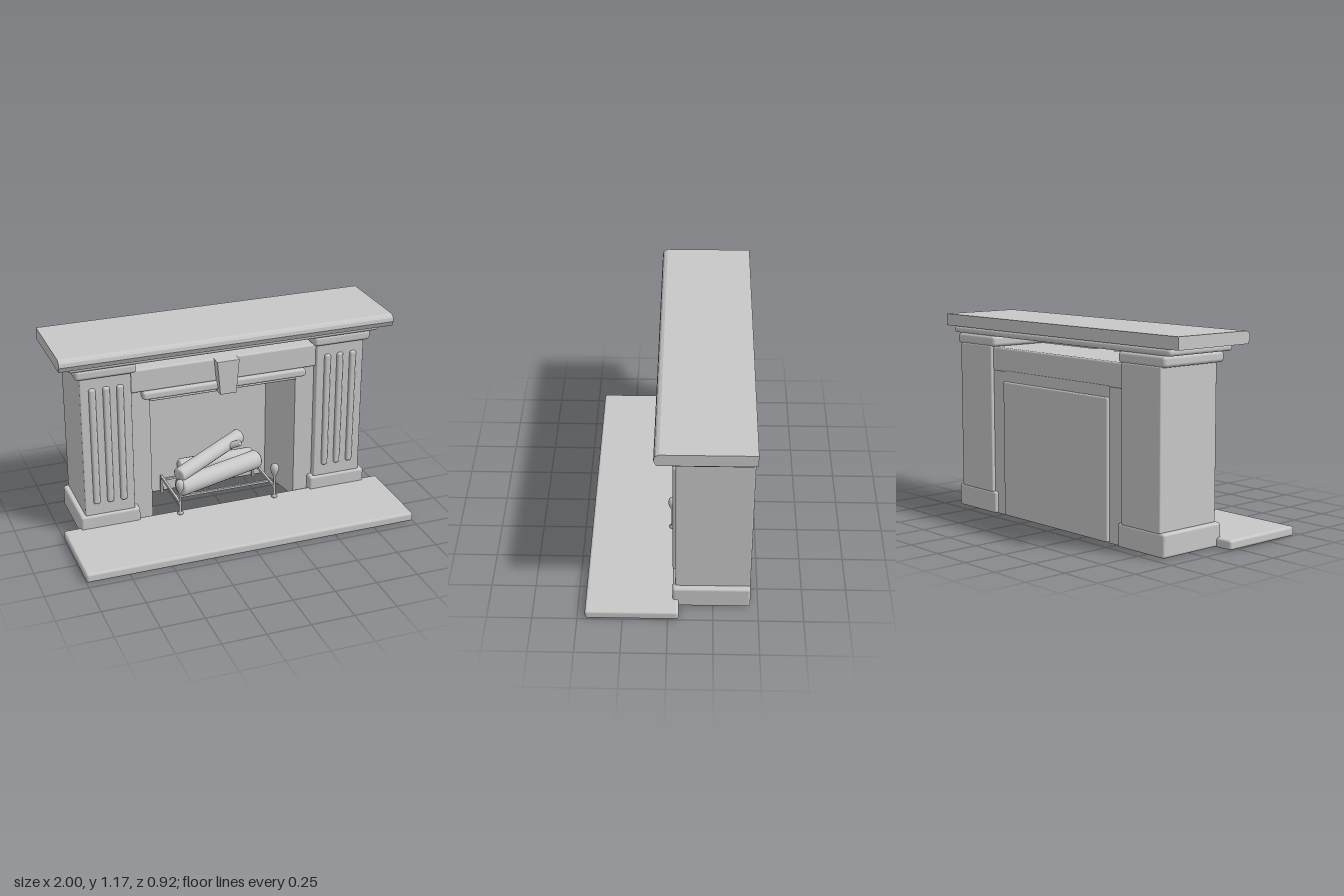
import * as THREE from 'three';
import { RoundedBoxGeometry } from 'three/addons/geometries/RoundedBoxGeometry.js';

export function createModel() {
  const model = new THREE.Group();
  model.name = 'fireplace';
  const stone = new THREE.MeshStandardMaterial({ color: 0xc8c8c8 });
  stone.name = 'light grey';

  const add = (name, geometry, parent = model) => {
    const mesh = new THREE.Mesh(geometry, stone);
    mesh.name = name;
    parent.add(mesh);
    return mesh;
  };
  // Softened block given by its limits on each axis
  const block = (name, [x0, x1], [y0, y1], [z0, z1], r = 0.008, parent = model) => {
    const mesh = add(name, new RoundedBoxGeometry(x1 - x0, y1 - y0, z1 - z0, 3, r), parent);
    mesh.position.set((x0 + x1) / 2, (y0 + y1) / 2, (z0 + z1) / 2);
    return mesh;
  };
  // Straight prism along y from a plan outline of [x, z] points
  const prism = (name, plan, y0, y1) => {
    const shape = new THREE.Shape(plan.map(([x, z]) => new THREE.Vector2(x, -z)));
    const geometry = new THREE.ExtrudeGeometry(shape, { depth: y1 - y0, bevelEnabled: false });
    geometry.rotateX(-Math.PI / 2).translate(0, y0, 0);
    return add(name, geometry);
  };

  // Hearth slab
  block('hearth', [-1, 1], [0, 0.055], [-0.06, 0.457], 0.015);

  // Mantel shelf with a shaped front edge
  const profile = [[-0.46, 1.10], [0.055, 1.10], [0.07, 1.13], [0.066, 1.152], [0.056, 1.163], [0.04, 1.17], [-0.46, 1.17]];
  const shelf = new THREE.Shape(profile.map(([z, y]) => new THREE.Vector2(-z, y)));
  const shelfGeometry = new THREE.ExtrudeGeometry(shelf, { depth: 2, bevelEnabled: false });
  add('mantelShelf', shelfGeometry.rotateY(Math.PI / 2).translate(-1, 0, 0));
  block('shelfMoulding', [-0.935, 0.935], [1.062, 1.1], [-0.457, 0.012], 0.017);

  // Fluted columns
  for (const side of [-1, 1]) {
    const column = new THREE.Group();
    column.name = side > 0 ? 'leftColumn' : 'rightColumn';
    model.add(column);
    const span = (a, b) => (side > 0 ? [a, b] : [-b, -a]);
    block('columnBase', span(0.54, 0.898), [0.004, 0.135], [-0.457, -0.026], 0.014, column);
    block('columnShaft', span(0.567, 0.867), [0.13, 1.005], [-0.456, -0.04], 0.008, column);
    block('columnCapital', span(0.54, 0.895), [1.0, 1.062], [-0.457, -0.01], 0.02, column);
    for (const x of [0.635, 0.715, 0.797]) {
      block('columnReed', span(x - 0.02, x + 0.02), [0.205, 0.935], [-0.06, -0.024], 0.014, column);
    }
  }

  // Frieze, lintel moulding and firebox ceiling
  block('frieze', [-0.57, 0.57], [0.86, 1.0], [-0.44, -0.055], 0.012);
  block('lintelMoulding', [-0.5, 0.5], [0.812, 0.862], [-0.13, -0.035], 0.016);
  block('fireboxCeiling', [-0.455, 0.455], [0.787, 0.87], [-0.44, -0.07], 0.006);

  // Tapered keystone
  const stoneShape = new THREE.Shape([[-0.05, 0.795], [0.05, 0.795], [0.068, 1.0], [-0.068, 1.0]].map(p => new THREE.Vector2(...p)));
  add('keystone', new THREE.ExtrudeGeometry(stoneShape, {
    depth: 0.075, bevelThickness: 0.004, bevelSize: 0.004, bevelOffset: -0.004, bevelSegments: 2,
  }).translate(0, 0, -0.079));

  // Jambs with splayed inner walls
  for (const [side, backX] of [[-1, 0.415], [1, 0.39]]) {
    const plan = [[0.57, -0.08], [0.57, -0.435], [0.45, -0.435], [backX, -0.40], [0.45, -0.08]].map(([x, z]) => [side * x, z]);
    prism(side > 0 ? 'leftJamb' : 'rightJamb', plan, 0.005, 0.865);
  }

  // Firebox back and underside
  block('fireboxBack', [-0.455, 0.455], [0.01, 0.805], [-0.456, -0.40], 0.01);
  const floor = add('fireboxUnderside', new THREE.PlaneGeometry(1.1, 0.36).rotateX(Math.PI / 2));
  floor.position.set(0, 0.012, -0.24);

  // Andirons: turned post with urn finial, and a billet bar behind
  const postProfile = [
    [0, 0.055], [0.018, 0.055], [0.018, 0.063], [0.008, 0.07], [0.007, 0.195], [0.013, 0.205],
    [0.022, 0.228], [0.026, 0.25], [0.021, 0.27], [0.01, 0.28], [0, 0.282],
  ].map(([r, y]) => new THREE.Vector2(r, y));
  for (const x of [-0.3, 0.3]) {
    const andiron = new THREE.Group();
    andiron.name = x > 0 ? 'leftAndiron' : 'rightAndiron';
    model.add(andiron);
    add('andironPost', new THREE.LatheGeometry(postProfile, 20), andiron).position.set(x, 0, -0.015);
    block('billetBar', [x - 0.008, x + 0.008], [0.115, 0.133], [-0.38, -0.015], 0.003, andiron);
    block('rearLeg', [x - 0.008, x + 0.008], [0.012, 0.13], [-0.385, -0.368], 0.003, andiron);
  }
  for (const z of [-0.1, -0.34]) block('grateBar', [-0.3, 0.3], [0.115, 0.13], [z - 0.008, z + 0.008], 0.003);

  // Logs with rounded ends, laid from point a to point b
  const log = (name, a, b, r) => {
    const start = new THREE.Vector3(...a), end = new THREE.Vector3(...b);
    const length = start.distanceTo(end), c = r * 0.25;
    const outline = [[0, 0], [r - c, 0], [r, c], [r, length - c], [r - c, length], [0, length]].map(p => new THREE.Vector2(...p));
    const mesh = add(name, new THREE.LatheGeometry(outline, 18));
    mesh.position.copy(start);
    mesh.quaternion.setFromUnitVectors(new THREE.Vector3(0, 1, 0), end.sub(start).normalize());
  };
  log('frontLog', [-0.28, 0.19, -0.09], [0.29, 0.195, -0.27], 0.058);
  log('backLog', [-0.2, 0.19, -0.34], [0.28, 0.19, -0.34], 0.05);
  log('topLog', [-0.28, 0.262, -0.1], [0.205, 0.328, -0.36], 0.045);
  log('branchStub', [0.1, 0.305, -0.28], [0.165, 0.34, -0.24], 0.02);

  return model;
}
